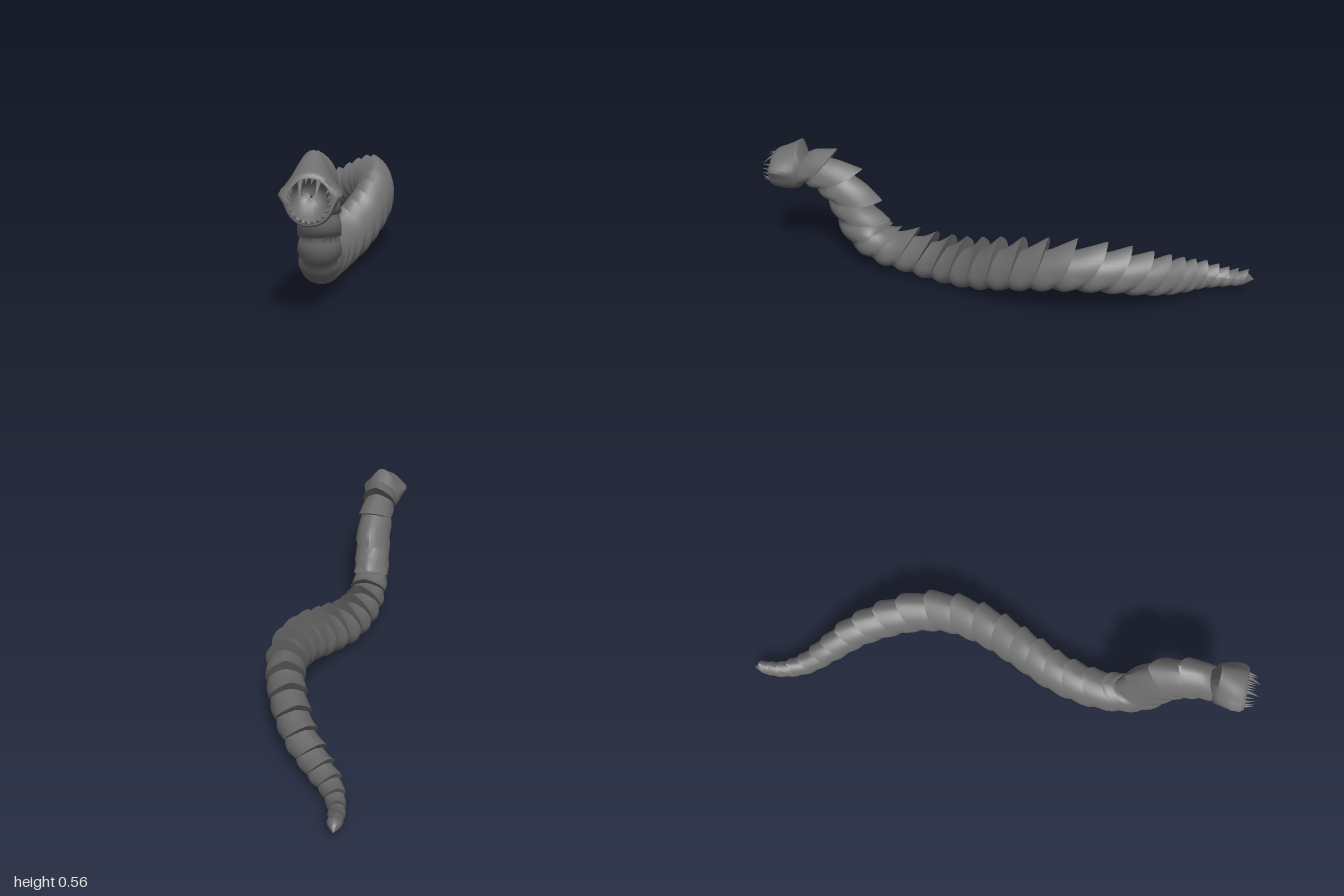
import * as THREE from 'three';
import { toCreasedNormals } from 'three/addons/utils/BufferGeometryUtils.js';

const SIDES = 40;
const skin = new THREE.MeshStandardMaterial({ color: 0x6e6e6e, side: THREE.DoubleSide });
const { lerp, smoothstep } = THREE.MathUtils;

// Spine from inside the head down the neck and back to the tail
const spine = new THREE.CatmullRomCurve3([
  [0, 0.425, 0.84], [0, 0.422, 0.79], [0, 0.4, 0.73], [0, 0.34, 0.665], [-0.002, 0.25, 0.625],
  [-0.005, 0.165, 0.585], [-0.008, 0.11, 0.51], [-0.006, 0.085, 0.4], [0.025, 0.08, 0.25],
  [0.08, 0.105, 0.1], [0.128, 0.15, -0.05], [0.15, 0.185, -0.2], [0.138, 0.194, -0.32],
  [0.095, 0.174, -0.45], [0.015, 0.128, -0.6], [-0.07, 0.088, -0.7], [-0.15, 0.064, -0.79],
  [-0.19, 0.053, -0.88], [-0.2, 0.058, -0.955],
].map(p => new THREE.Vector3(...p)));
spine.arcLengthDivisions = 600;

// Body radius by distance along the spine (0 to 1)
const girth = [[0, 0.07], [0.1, 0.075], [0.23, 0.078], [0.65, 0.078], [0.74, 0.07],
  [0.82, 0.06], [0.9, 0.046], [0.96, 0.032], [1, 0.026]];
function radiusAt(u) {
  let i = 0;
  while (i < girth.length - 2 && u > girth[i + 1][0]) i++;
  const [a, b] = [girth[i], girth[i + 1]];
  return lerp(a[1], b[1], (u - a[0]) / (b[0] - a[0]));
}

// Skin through a list of closed rings of points
function loft(rings, crease) {
  const index = [];
  for (let k = 0; k < rings.length - 1; k++) {
    for (let j = 0; j < SIDES; j++) {
      const a = k * SIDES + j, b = k * SIDES + (j + 1) % SIDES;
      index.push(a, a + SIDES, b, b, a + SIDES, b + SIDES);
    }
  }
  const geo = new THREE.BufferGeometry().setFromPoints(rings.flat());
  geo.setIndex(index);
  return toCreasedNormals(geo, crease);
}

function ring(pointAt) {
  return Array.from({ length: SIDES }, (_, j) => pointAt(j / SIDES * Math.PI * 2));
}

// Overlapping body segments: round below, rising to a pointed swept-back plate above
function bodyRings() {
  const lengths = [0.07, 0.07, 0.085, 0.09, 0.08, 0.08];
  for (let i = 0; i < 12; i++) lengths.push(0.088);
  for (let i = 0; i < 8; i++) lengths.push(lerp(0.085, 0.038, i / 7));
  const total = lengths.reduce((a, b) => a + b);
  const steps = [0, 0.2, 0.4, 0.6, 0.8, 0.93, 1];
  const rings = [];
  const addRing = (u, t, scale = 1, ahead = 0) => {
    const R = radiusAt(u) * scale;
    const T = spine.getTangentAt(u);
    const C = spine.getPointAt(u).addScaledVector(T, ahead);
    const up = new THREE.Vector3(0, 1, 0).addScaledVector(T, -T.y).normalize();
    const side = new THREE.Vector3().crossVectors(up, T);
    // plates stay low in the bend at the foot of the neck
    const bend = 1 - 0.4 * Math.exp(-(((u - 0.215) / 0.05) ** 2));
    rings.push(ring(f => {
      const c = Math.cos(f);
      const away = Math.min(f, Math.PI * 2 - f);
      const peak = Math.max(0, 1 - away / 1.45) ** 1.6;
      const belly = 0.86 + 0.17 * Math.sin(Math.PI * t);
      const plate = 0.88 + 0.13 * t;
      let r = R * lerp(belly, plate, smoothstep(c, -0.6, 0.4));
      r += R * bend * peak * (0.22 + 0.64 * t ** 1.3);
      const sweep = R * bend * (0.5 * c + 0.3 * peak * t);
      return C.clone().addScaledVector(up, r * c)
        .addScaledVector(side, r * Math.sin(f)).addScaledVector(T, sweep);
    }));
  };
  let start = 0;
  for (const length of lengths) {
    for (const t of steps) addRing(Math.min(1, (start + length * t) / total), t);
    start += length;
  }
  // pointed tail end
  addRing(1, 0.2, 0.95, 0.006);
  addRing(1, 0, 0.6, 0.022);
  addRing(1, 0, 0.03, 0.042);
  return rings;
}

// Head from the throat out over the lips and back to its crest:
// z, width, height, crest, cheek flare
function headRings() {
  return [
    [0.885, 0.003, 0.003, 0, 0], [0.889, 0.025, 0.025, 0, 0], [0.902, 0.043, 0.043, 0, 0],
    [0.925, 0.055, 0.055, 0, 0], [0.945, 0.06, 0.061, 0, 0], [0.952, 0.066, 0.067, 0, 0.004],
    [0.95, 0.074, 0.076, 0, 0.012], [0.935, 0.08, 0.083, 0.002, 0.018],
    [0.905, 0.082, 0.086, 0.012, 0.018], [0.875, 0.08, 0.085, 0.028, 0.013],
    [0.85, 0.077, 0.082, 0.046, 0.006], [0.838, 0.074, 0.079, 0.056, 0.002],
    [0.825, 0.06, 0.065, 0.02, 0], [0.81, 0.045, 0.045, 0, 0],
  ].map(([z, rx, ry, crest, flare]) => ring(f => {
    const c = Math.cos(f), s = Math.sin(f);
    const cheek = flare * Math.exp(-(((c - 0.18) / 0.25) ** 2));
    return new THREE.Vector3(-s * (rx + cheek), 0.42 + c * (ry + crest * Math.max(0, c) ** 1.7), z - 0.01 * c);
  }));
}

// Curved pointed tooth, base at the origin, growing along +z and hooking to -y
function toothGeometry(length, radius, hook) {
  const geo = new THREE.ConeGeometry(radius, length, 10, 5);
  geo.rotateX(Math.PI / 2).translate(0, 0, length / 2);
  const p = geo.attributes.position;
  for (let i = 0; i < p.count; i++) {
    const along = Math.max(0, p.getZ(i) / length);
    p.setY(i, p.getY(i) - hook * along ** 1.5);
  }
  geo.computeVertexNormals();
  return geo;
}

export function createModel() {
  const model = new THREE.Group();
  model.name = 'segmentedWorm';
  const add = (parent, name, geo) => {
    const mesh = new THREE.Mesh(geo, skin);
    mesh.name = name;
    parent.add(mesh);
    return mesh;
  };
  add(model, 'body', loft(bodyRings(), 0.9));
  add(model, 'head', loft(headRings(), 0.9));

  // Teeth around the mouth, as angles from the top; two long fangs above
  const teeth = new THREE.Group();
  teeth.name = 'teeth';
  model.add(teeth);
  const small = toothGeometry(0.042, 0.0055, 0.009);
  const fang = toothGeometry(0.064, 0.0095, 0.048);
  for (const side of [-1, 1]) {
    for (const angle of [0.15, 0.45, 1.1, 1.4, 1.72, 2.05, 2.4, 2.72, 3.0]) {
      const isFang = angle === 0.45, f = side * angle;
      const tooth = add(teeth, isFang ? 'fang' : 'tooth', isFang ? fang : small);
      const c = Math.cos(f);
      tooth.position.set(0.064 * Math.sin(f), 0.42 + 0.064 * c, 0.945 - 0.01 * c);
      tooth.rotation.z = isFang ? -f * 0.2 : -f;
    }
  }

  // Rest on the ground
  model.position.y = -new THREE.Box3().setFromObject(model, true).min.y;
  return model;
}
